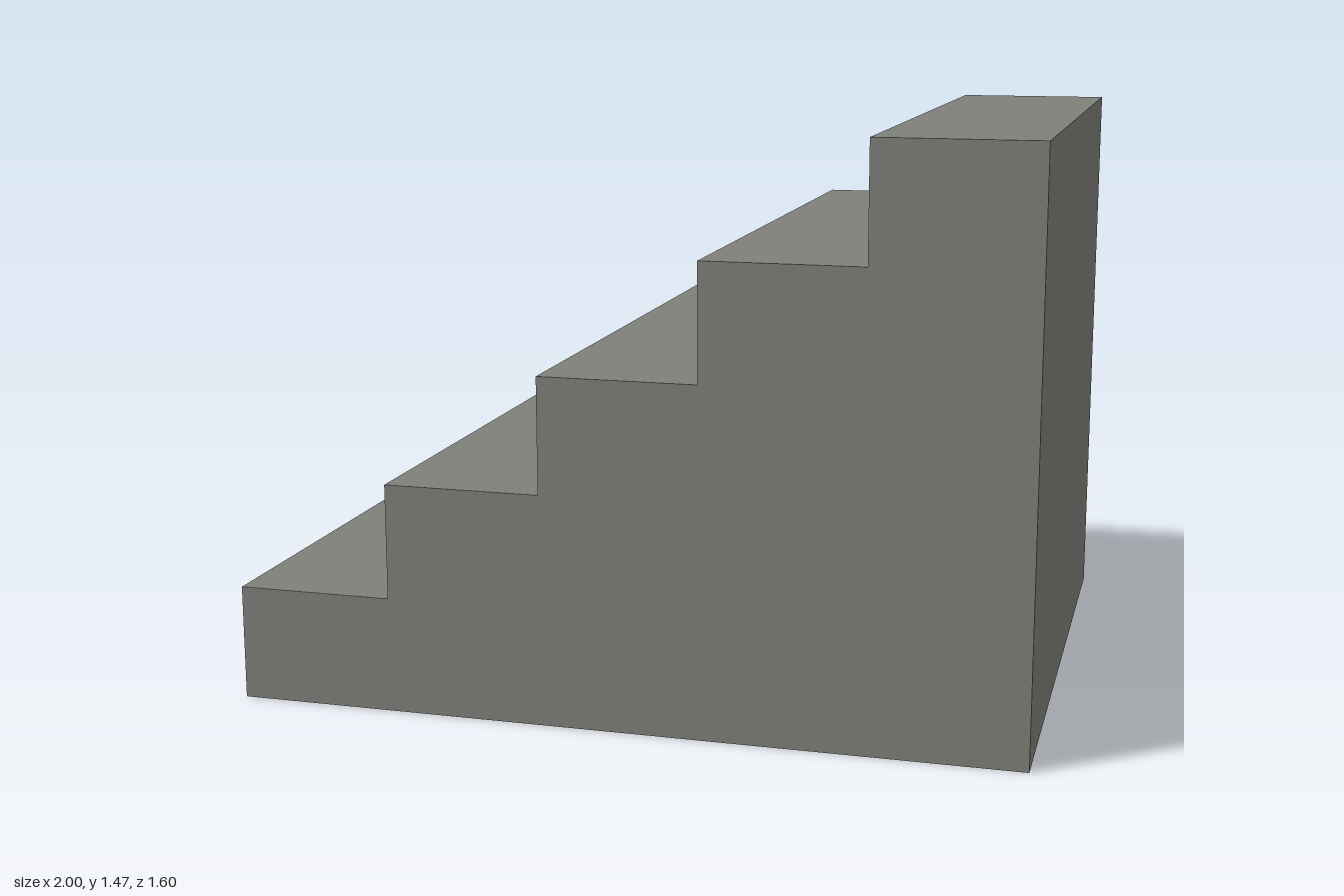
import * as THREE from 'three';

const STEPS = 5, WIDTH = 2, HEIGHT = 1.467, DEPTH = 1.6;

export function createModel() {
  const group = new THREE.Group();
  group.name = 'staircase';

  const stone = new THREE.MeshStandardMaterial({ color: 0x80807a });
  stone.name = 'grey stone';

  // Stepped side profile, climbing towards +x
  const tread = WIDTH / STEPS, riser = HEIGHT / STEPS;
  const profile = new THREE.Shape();
  profile.moveTo(WIDTH / 2, 0);
  profile.lineTo(WIDTH / 2, HEIGHT);
  for (let i = STEPS - 1; i >= 0; i--) {
    const x = -WIDTH / 2 + i * tread;
    profile.lineTo(x, (i + 1) * riser);
    profile.lineTo(x, i * riser);
  }
  profile.closePath();

  // Solid flight of steps, centred front to back
  const geometry = new THREE.ExtrudeGeometry(profile, { depth: DEPTH, bevelEnabled: false });
  geometry.translate(0, 0, -DEPTH / 2);
  const steps = new THREE.Mesh(geometry, stone);
  steps.name = 'steps';
  group.add(steps);

  return group;
}
